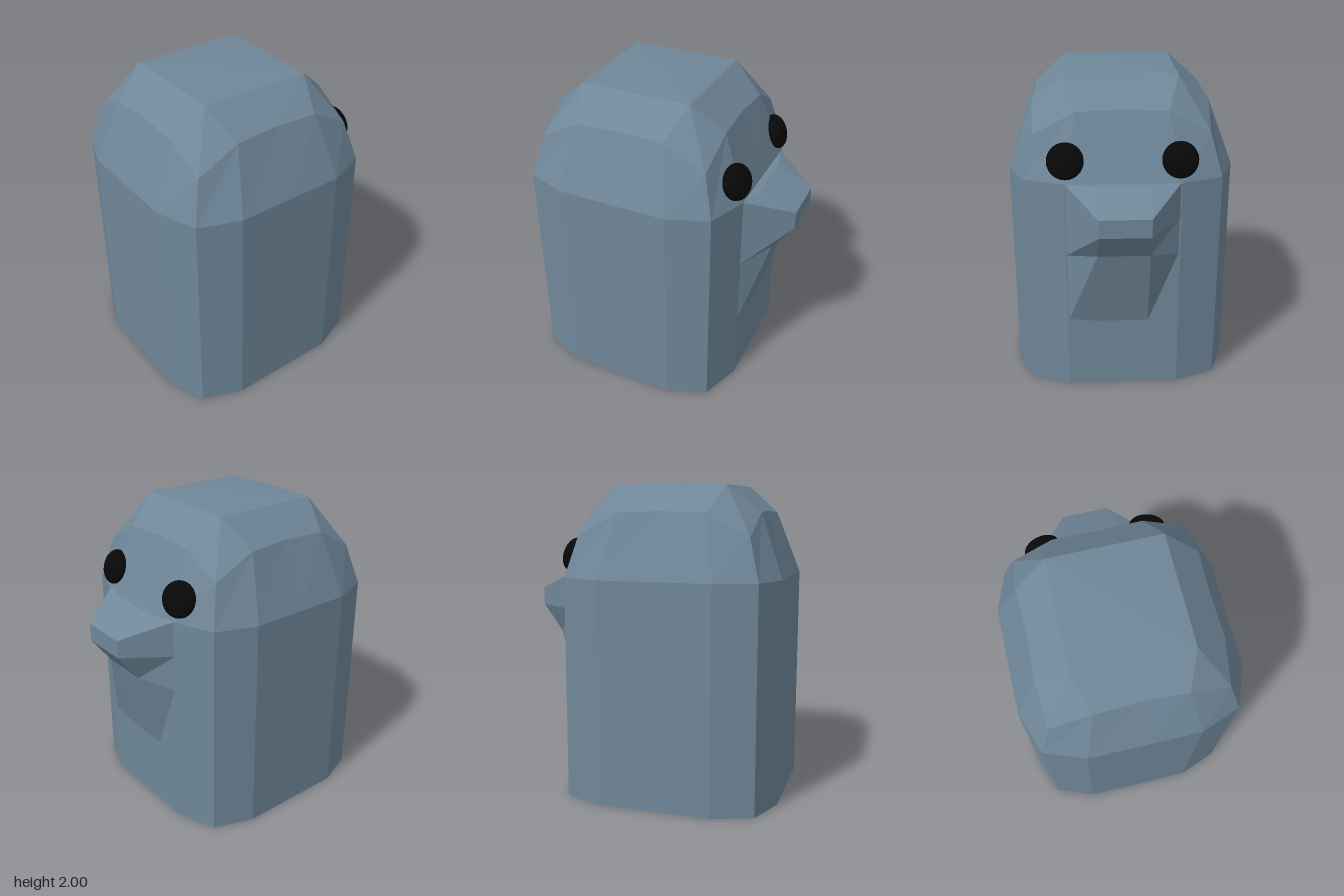
import * as THREE from 'three';

// Join rows of points (listed bottom to top) into a faceted surface
function loft(rows, closed) {
  const pos = [];
  const tri = (...p) => {
    const [a, b, c] = p.map(q => new THREE.Vector3(...q));
    if (b.sub(a).cross(c.sub(a)).length() > 1e-6) pos.push(...p.flat());
  };
  for (let j = 0; j < rows.length - 1; j++) {
    const lo = rows[j], hi = rows[j + 1], n = lo.length;
    for (let i = 0; i < (closed ? n : n - 1); i++) {
      const k = (i + 1) % n;
      tri(lo[i], hi[i], lo[k]);
      tri(hi[i], hi[k], lo[k]);
    }
  }
  const geo = new THREE.BufferGeometry();
  geo.setAttribute('position', new THREE.Float32BufferAttribute(pos, 3));
  geo.computeVertexNormals();
  return geo;
}

// Rounded-square ring: each side has a middle, two quarter points and a corner
function ring(mid, quarter, corner) {
  const side = [
    [mid[0], mid[1], 0],
    [quarter[0], quarter[1], quarter[2]],
    [corner[0], corner[1], corner[0]],
    [quarter[2], quarter[1], quarter[0]],
  ];
  const pts = [];
  for (let s = 0; s < 4; s++) {
    const c = Math.round(Math.cos(s * Math.PI / 2)), d = Math.round(Math.sin(s * Math.PI / 2));
    for (const [x, y, z] of side) pts.push([x * c - z * d, y, x * d + z * c]);
  }
  return pts;
}

export function createModel() {
  const model = new THREE.Group();
  const skin = new THREE.MeshStandardMaterial({ color: 0x6f8799, flatShading: true });
  const black = new THREE.MeshStandardMaterial({ color: 0x080808 });
  const add = (name, geo, mat) => {
    const mesh = new THREE.Mesh(geo, mat);
    mesh.name = name;
    model.add(mesh);
    return mesh;
  };

  // Body: straight sides closing into a faceted dome
  const outline = y => ring([0.705, y], [0.705, y, 0.355], [0.61, y]);
  const body = add('body', loft([
    ring([0, 0], [0, 0, 0], [0, 0]),
    outline(0),
    outline(1.41),
    ring([0.545, 1.82], [0.555, 1.81, 0.28], [0.54, 1.67]),
    ring([0.355, 1.98], [0.355, 1.98, 0.355], [0.355, 1.98]),
    ring([0, 2], [0, 2, 0], [0, 2]),
  ], true), skin);
  body.position.x = -0.14;

  // Beak and throat: mirrored rows of outer [x, y, z] and inner [x, y, z]
  const beakRows = [
    [[0.56, 0.47, 0.35], [0.565, 0.47, 0.16]],
    [[0.56, 0.94, 0.35], [0.705, 1.0, 0.16]],
    [[0.56, 1.18, 0.35], [0.84, 1.18, 0.155]],
    [[0.56, 1.41, 0.35], [0.84, 1.295, 0.155]],
    [[0.56, 1.41, 0.35], [0.61, 1.41, 0.175]],
    [[0.5, 1.41, 0.35], [0.5, 1.41, 0.175]],
  ].map(([o, i]) => [[o[0], o[1], -o[2]], [i[0], i[1], -i[2]], i, o]);
  add('beak', loft(beakRows, false), skin);

  // Eyes: flattened balls lying against the sloped face
  for (const s of [1, -1]) {
    const eye = add(s > 0 ? 'frontEye' : 'backEye', new THREE.SphereGeometry(1, 32, 20), black);
    eye.scale.set(0.07, 0.112, 0.115);
    eye.position.set(0.517, 1.54, 0.345 * s);
    eye.quaternion.setFromUnitVectors(
      new THREE.Vector3(1, 0, 0), new THREE.Vector3(0.89, 0.33, 0.25 * s).normalize());
  }
  return model;
}
